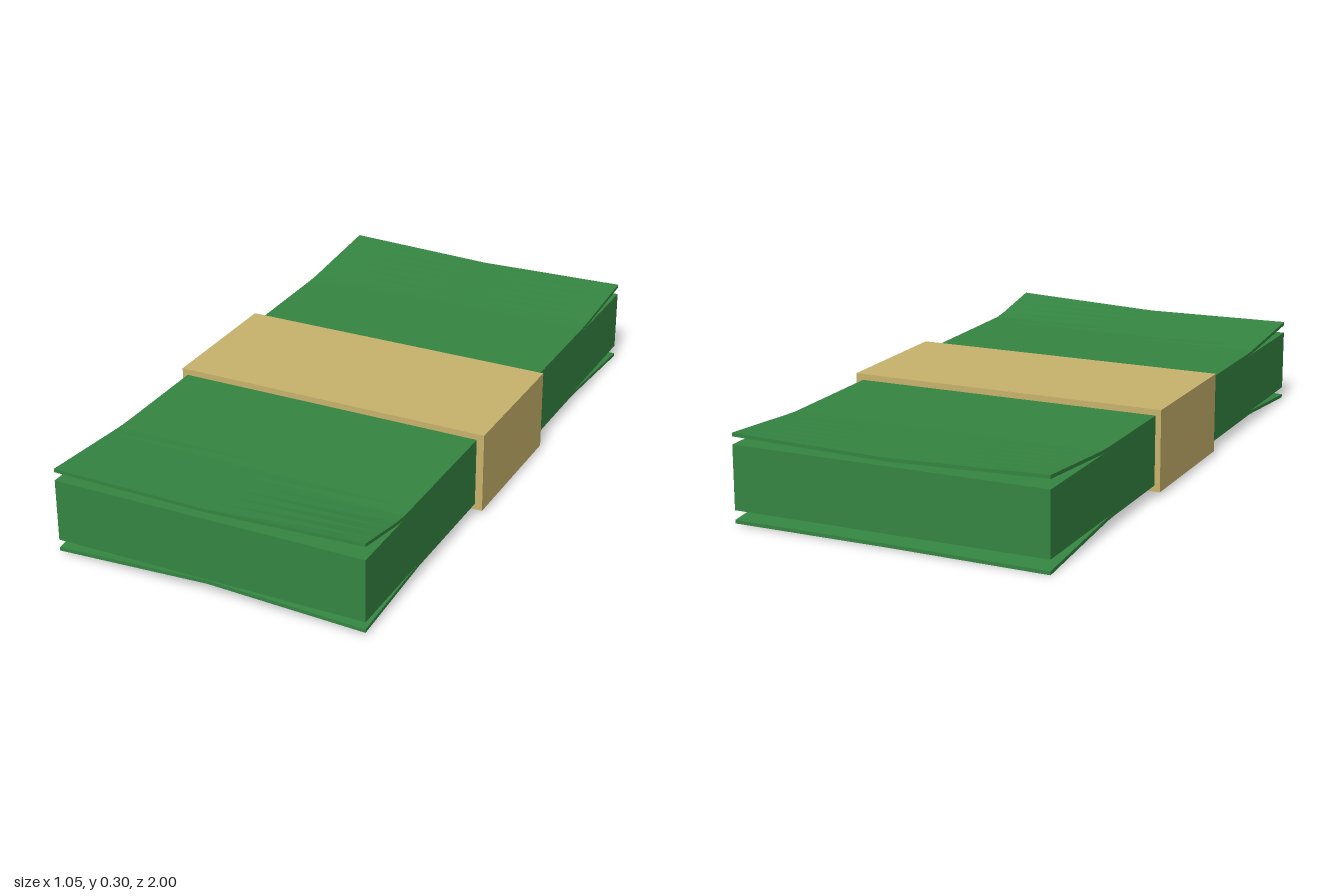
import * as THREE from 'three';

const WIDTH = 1.01;
const SHEET = 0.011;

// Thin sheet whose two ends bend away from the block.
// front/back: lift at the right edge (-x), middle and left edge (+x), and where each bend starts.
function curledSheet(name, material, y, dir, front, back) {
  const geo = new THREE.BoxGeometry(WIDTH, SHEET, 2, 2, 1, 40).toNonIndexed();
  const p = geo.attributes.position;
  for (let i = 0; i < p.count; i++) {
    const z = p.getZ(i);
    const column = Math.round(p.getX(i) / (WIDTH / 2)) + 1;
    const end = z > 0 ? front : back;
    const start = end.start[column];
    const t = Math.max(0, (Math.abs(z) - start) / (1 - start));
    p.setY(i, p.getY(i) + dir * end.lift[column] * t);
  }
  geo.computeVertexNormals();
  const mesh = new THREE.Mesh(geo, material);
  mesh.name = name;
  mesh.position.set(-0.003, y, 0);
  return mesh;
}

function block(name, material, w, h, d, x, y, z) {
  const mesh = new THREE.Mesh(new THREE.BoxGeometry(w, h, d), material);
  mesh.name = name;
  mesh.position.set(x, y, z);
  return mesh;
}

export function createModel() {
  const green = new THREE.MeshStandardMaterial({ name: 'paperGreen', color: 0x358642 });
  const tan = new THREE.MeshStandardMaterial({ name: 'bandTan', color: 0xc9b46c });

  const model = new THREE.Group();
  model.name = 'paperBundle';

  // Solid stack and the paper band around it
  model.add(block('stack', green, WIDTH, 0.2, 2, -0.003, 0.145, 0));
  model.add(block('band', tan, 1.052, 0.26, 0.478, 0, 0.145, 0.003));

  // Loose outer sheets
  model.add(curledSheet('topSheet', green, 0.25, 1,
    { lift: [0.028, 0.022, 0.042], start: [0.63, 0.7, 0.77] },
    { lift: [0.03, 0.014, 0.025], start: [0.63, 0.63, 0.66] }));
  model.add(curledSheet('bottomSheet', green, 0.04, -1,
    { lift: [0.027, 0.004, 0.024], start: [0.65, 0.65, 0.65] },
    { lift: [0.0345, 0.03, 0.03], start: [0.58, 0.58, 0.58] }));

  return model;
}
